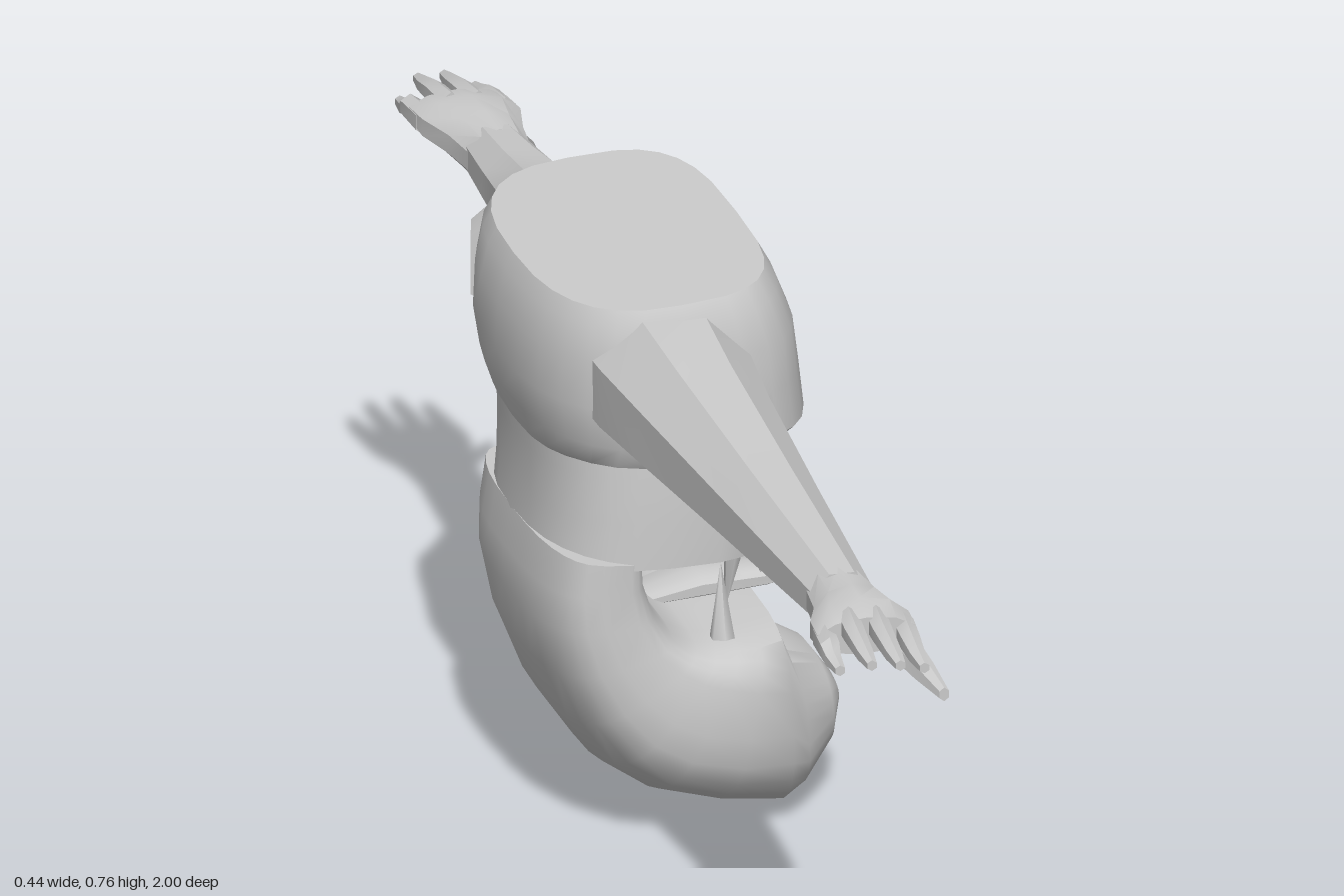
import * as THREE from 'three';
import { toCreasedNormals } from 'three/addons/utils/BufferGeometryUtils.js';

const MID = -0.235; // z of the body's middle plane
const material = new THREE.MeshStandardMaterial({ color: 0xcccccc, side: THREE.DoubleSide });

// Skin over closed rings of equal point count, with both ends capped.
function loft(name, rings, crease = 0.7, flip = false) {
  const n = rings[0].length;
  const pos = rings.flat().flatMap(p => [p.x, p.y, p.z]);
  const index = [];
  const tri = (a, b, c) => (flip ? index.push(a, c, b) : index.push(a, b, c));
  for (let i = 0; i < rings.length - 1; i++) {
    for (let j = 0; j < n; j++) {
      const k = (j + 1) % n, a = i * n + j, b = i * n + k;
      tri(a, b, b + n);
      tri(a, b + n, a + n);
    }
  }
  [0, rings.length - 1].forEach(r => {
    const c = pos.length / 3;
    const m = rings[r].reduce((s, p) => s.add(p), new THREE.Vector3()).divideScalar(n);
    pos.push(m.x, m.y, m.z);
    for (let j = 0; j < n; j++) {
      const a = r * n + j, b = r * n + (j + 1) % n;
      r === 0 ? tri(c, b, a) : tri(c, a, b);
    }
  });
  const g = new THREE.BufferGeometry();
  g.setAttribute('position', new THREE.Float32BufferAttribute(pos, 3));
  g.setIndex(index);
  const mesh = new THREE.Mesh(toCreasedNormals(g, crease), material);
  mesh.name = name;
  return mesh;
}

const pow = (v, p) => Math.sign(v) * Math.abs(v) ** p;

// Section between an outer and an inner point in the xy plane, hw wide to each
// side in z. pIn and pOut square off (small) or round (1) the two halves.
function section([ox, oy, ix, iy, hw, pIn = 0.6, pOut = 0.75], n = 28) {
  return Array.from({ length: n }, (_, j) => {
    const t = (j / n) * Math.PI * 2, c = Math.cos(t), s = Math.sin(t);
    const p = c > 0 ? pIn : pOut;
    const u = pow(c, p) / 2;
    return new THREE.Vector3((ox + ix) / 2 + (ix - ox) * u, (oy + iy) / 2 + (iy - oy) * u, MID + hw * pow(s, p));
  });
}

// Limb along z from rows of [z, x, y, rx, ry]; side -1 mirrors it in z.
function limb(name, rows, side, n = 8, crease = 0.6) {
  const rings = rows.map(([z, x, y, rx, ry]) => Array.from({ length: n }, (_, j) => {
    const t = ((j + 0.5) / n) * Math.PI * 2;
    return new THREE.Vector3(x + rx * Math.cos(t), y + ry * Math.sin(t), z * side);
  }));
  return loft(name, rings, crease, side < 0);
}

function hand(side) {
  const g = new THREE.Group();
  g.name = side > 0 ? 'leftHand' : 'rightHand';
  g.add(limb('palm', [
    [0.74, -0.07, 0.647, 0.042, 0.038], [0.8, -0.07, 0.647, 0.05, 0.039],
    [0.85, -0.074, 0.652, 0.066, 0.036], [0.895, -0.078, 0.655, 0.066, 0.024],
  ], side, 10));
  [[-0.132, 0.645, 0.965], [-0.1, 0.66, 0.995], [-0.065, 0.658, 1], [-0.03, 0.645, 0.985]].forEach(([x, y, end]) => {
    g.add(limb('finger', [
      [0.87, x + 0.006, y + 0.006, 0.015, 0.02], [0.92, x, y + 0.008, 0.014, 0.016],
      [end - 0.03, x, y, 0.011, 0.012], [end, x, y - 0.003, 0.007, 0.007],
    ], side, 6));
  });
  g.add(limb('thumb', [
    [0.8, -0.04, 0.635, 0.025, 0.025], [0.835, -0.015, 0.612, 0.019, 0.022],
    [0.865, 0.004, 0.588, 0.014, 0.018], [0.9, 0.02, 0.568, 0.007, 0.009],
  ], side, 6));
  return g;
}

// Cone from a base point to a tip.
function tooth(x, y, dz, tipX, tipY, r) {
  const a = new THREE.Vector3(x, y, MID + dz);
  const b = new THREE.Vector3(tipX, tipY, MID + dz * 0.93);
  const d = b.clone().sub(a);
  const mesh = new THREE.Mesh(new THREE.ConeGeometry(r, d.length(), 6), material);
  mesh.position.copy(a).add(b).multiplyScalar(0.5);
  mesh.quaternion.setFromUnitVectors(new THREE.Vector3(0, 1, 0), d.normalize());
  mesh.name = 'tooth';
  return mesh;
}

export function createModel() {
  const model = new THREE.Group();
  model.name = 'creature';

  // Broad shoulder block with a slightly tilted flat top
  model.add(loft('torso', [
    [-0.2, 0.735, 0.085, 0.757, 0.25],
    [-0.21, 0.715, 0.1, 0.73, 0.262],
    [-0.22, 0.67, 0.12, 0.68, 0.267],
    [-0.223, 0.61, 0.128, 0.62, 0.267],
    [-0.215, 0.56, 0.135, 0.56, 0.265],
    [-0.205, 0.53, 0.1, 0.531, 0.245],
    [-0.2, 0.515, 0.09, 0.522, 0.19],
  ].map(r => section(r))));

  // Upper jaw, ending in a straight lip
  model.add(loft('upperJaw', [
    [-0.205, 0.56, 0.1, 0.56, 0.2],
    [-0.2, 0.5, 0.1, 0.5, 0.205],
    [-0.2, 0.44, 0.098, 0.44, 0.207],
    [-0.205, 0.38, 0.095, 0.38, 0.207],
  ].map(r => section(r))));

  // Back of the neck curling round under the mouth into the chin
  model.add(loft('lowerJaw', [
    [-0.203, 0.4, -0.082, 0.385, 0.206, 0.35],
    [-0.212, 0.35, -0.08, 0.35, 0.206, 0.35],
    [-0.214, 0.3, -0.066, 0.308, 0.207, 0.35],
    [-0.2, 0.23, -0.04, 0.273, 0.208, 0.35],
    [-0.17, 0.155, -0.01, 0.26, 0.21, 0.35],
    [-0.125, 0.09, 0.015, 0.258, 0.212, 0.38],
    [-0.065, 0.048, 0.04, 0.258, 0.212, 0.4],
    [0.02, 0.022, 0.07, 0.258, 0.207, 0.45],
    [0.11, 0.002, 0.103, 0.257, 0.182, 0.55, 0.8],
    [0.14, 0.012, 0.132, 0.192, 0.15, 0.7, 0.9],
    [0.185, 0.06, 0.178, 0.172, 0.1, 0.8, 0.9],
    [0.204, 0.105, 0.2, 0.142, 0.05, 0.9, 0.9],
  ].map(r => section(r))));

  // Pointed tongue sticking out of the mouth
  model.add(loft('tongue', [
    [-0.04, 0.258, -0.04, 0.27, 0.035],
    [0.03, 0.262, 0.03, 0.292, 0.045],
    [0.12, 0.266, 0.12, 0.289, 0.035],
    [0.2, 0.278, 0.205, 0.293, 0.02],
    [0.22, 0.283, 0.222, 0.289, 0.014],
  ].map(r => section(r, 10))));

  // Teeth, mirrored about the middle plane
  for (const s of [-1, 1]) {
    model.add(
      tooth(0.075, 0.385, 0.045 * s, 0.08, 0.335, 0.013),
      tooth(0.055, 0.385, 0.105 * s, 0.042, 0.272, 0.017),
      tooth(0.07, 0.385, 0.14 * s, 0.078, 0.33, 0.014),
      tooth(0.025, 0.255, 0.145 * s, 0.026, 0.352, 0.016),
    );
  }

  // Long arm on the left, short arm on the right
  model.add(limb('leftArm', [
    [-0.06, -0.068, 0.637, 0.105, 0.1], [0.02, -0.068, 0.637, 0.104, 0.1],
    [0.15, -0.068, 0.635, 0.09, 0.088], [0.45, -0.07, 0.642, 0.066, 0.063],
    [0.76, -0.07, 0.647, 0.042, 0.04],
  ], 1));
  model.add(limb('rightArm', [
    [0.42, -0.062, 0.645, 0.15, 0.1], [0.48, -0.062, 0.648, 0.13, 0.086],
    [0.53, -0.065, 0.65, 0.088, 0.068], [0.57, -0.068, 0.652, 0.058, 0.054],
    [0.66, -0.07, 0.65, 0.05, 0.045], [0.76, -0.07, 0.647, 0.042, 0.038],
  ], -1));
  model.add(hand(1), hand(-1));
  return model;
}
